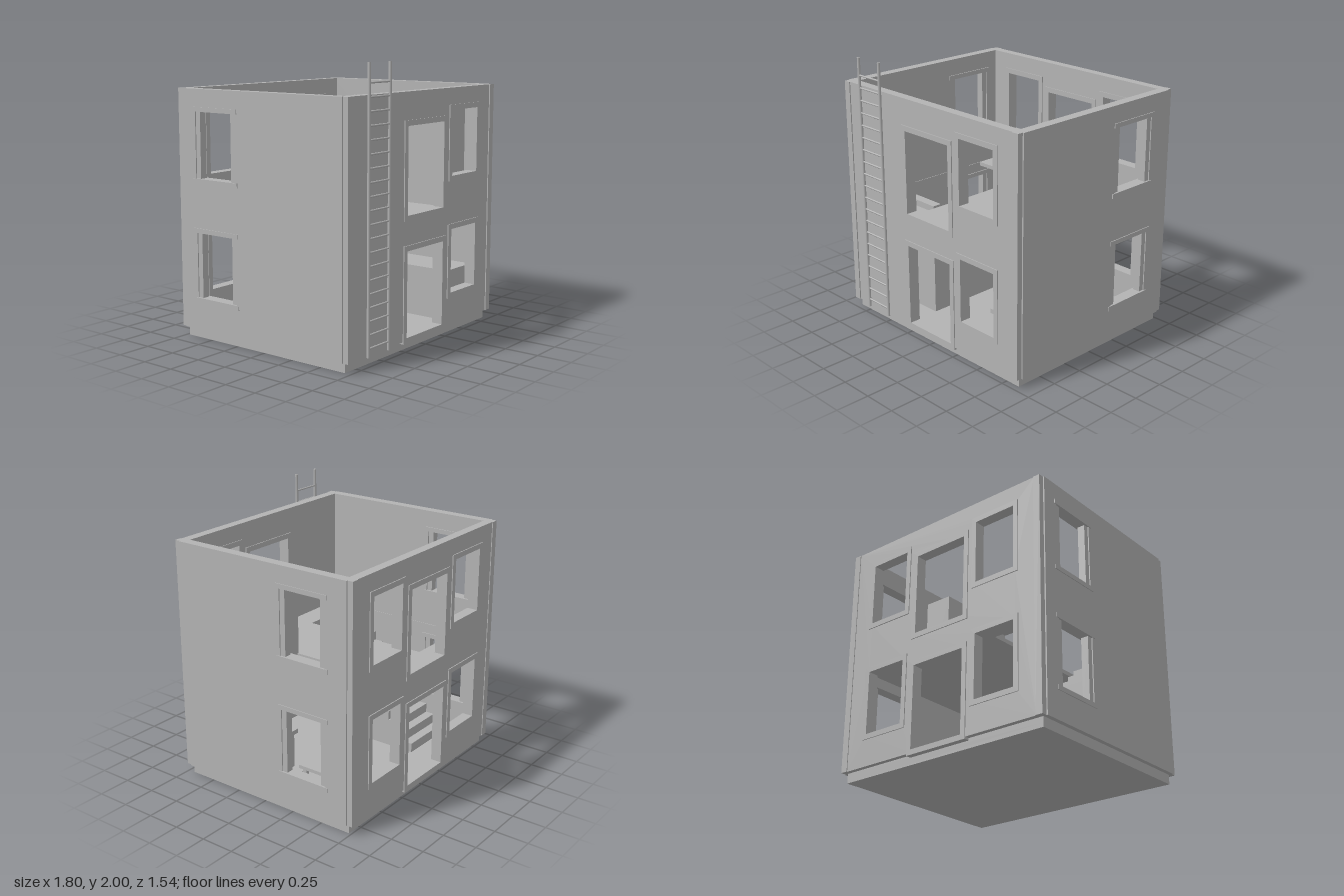
import * as THREE from 'three';

const grey = new THREE.MeshStandardMaterial({ color: 0xb3b3b3 });
grey.name = 'grey';

const STOREY = 0.857;

// Rectangles are [a0, b0, a1, b1]
const trace = (path, [a0, b0, a1, b1]) => {
  path.moveTo(a0, b0);
  path.lineTo(a1, b0);
  path.lineTo(a1, b1);
  path.lineTo(a0, b1);
  path.closePath();
  return path;
};

const grow = ([a0, b0, a1, b1], d) => [a0 - d, b0 - d, a1 + d, b1 + d];

function panel(rect, holes, depth) {
  const shape = trace(new THREE.Shape(), rect);
  holes.forEach(h => shape.holes.push(trace(new THREE.Path(), h)));
  return new THREE.ExtrudeGeometry(shape, { depth, bevelEnabled: false });
}

function add(parent, name, geometry) {
  const mesh = new THREE.Mesh(geometry, grey);
  mesh.name = name;
  parent.add(mesh);
  return mesh;
}

function box(parent, name, x0, x1, y0, y1, z0, z1) {
  const mesh = add(parent, name, new THREE.BoxGeometry(x1 - x0, y1 - y0, z1 - z0));
  mesh.position.set((x0 + x1) / 2, (y0 + y1) / 2, (z0 + z1) / 2);
  return mesh;
}

// Front or back wall with framed openings on both storeys
function longWall(parent, name, z0, z1, columns) {
  const wall = new THREE.Group();
  wall.name = name;
  parent.add(wall);
  const openings = [];
  for (const up of [0, STOREY]) {
    for (const [x0, x1, y0, y1] of columns) openings.push([x0, y0 + up, x1, y1 + up]);
  }
  const holes = openings.map(o => grow(o, 0.01));
  add(wall, 'wallPanel', panel([-0.835, 0.07, 0.835, 1.79], holes, z1 - z0)).position.z = z0;
  for (const o of openings) {
    add(wall, 'openingFrame', panel(grow(o, 0.038), [o], z1 - z0 + 0.014)).position.z = z0 - 0.007;
  }
}

// Side wall with a lintel, sill and jambs around each window
function sideWall(parent, name, side, zc) {
  const wall = new THREE.Group();
  wall.name = name;
  parent.add(wall);
  const sideBox = (n, a, b, y0, y1, z0, z1) =>
    box(wall, n, Math.min(side * a, side * b), Math.max(side * a, side * b), y0, y1, z0, z1);
  const holes = [0, STOREY].map(up => [zc - 0.185, 0.305 + up, zc + 0.185, 0.775 + up]);
  const geo = panel([-0.73, 0.07, 0.70, 1.79], holes, 0.073);
  geo.rotateY(-Math.PI / 2);
  geo.translate(side > 0 ? 0.893 : -0.82, 0, 0);
  add(wall, 'wallPanel', geo);
  for (const [, y0, , y1] of holes) {
    sideBox('lintel', 0.812, 0.899, y1, y1 + 0.033, zc - 0.21, zc + 0.21);
    sideBox('sill', 0.812, 0.899, y0 - 0.033, y0, zc - 0.21, zc + 0.21);
    for (const s of [-1, 1]) {
      const a = zc + s * 0.145, b = zc + s * 0.185;
      sideBox('jamb', 0.83, 0.885, y0, y1, Math.min(a, b), Math.max(a, b));
    }
  }
}

// Slab top with four corner legs
function slabOnLegs(parent, name, x0, x1, z0, z1, floor, height, thick, leg) {
  const g = new THREE.Group();
  g.name = name;
  parent.add(g);
  const under = floor + height - thick;
  box(g, 'slab', x0, x1, under, floor + height, z0, z1);
  for (const x of [x0 + 0.02, x1 - 0.02 - leg]) {
    for (const z of [z0 + 0.02, z1 - 0.02 - leg]) box(g, 'leg', x, x + leg, floor, under, z, z + leg);
  }
}

function ladder(parent) {
  const g = new THREE.Group();
  g.name = 'ladder';
  parent.add(g);
  for (const x of [-0.685, -0.459]) {
    add(g, 'ladderRail', new THREE.CylinderGeometry(0.011, 0.011, 1.93, 12)).position.set(x, 1.035, 0.757);
  }
  for (let i = 0; i < 20; i++) {
    const rung = add(g, 'ladderRung', new THREE.CylinderGeometry(0.007, 0.007, 0.226, 8));
    rung.rotation.z = Math.PI / 2;
    rung.position.set(-0.572, 0.13 + i * 0.0916, 0.757);
  }
}

export function createModel() {
  const house = new THREE.Group();
  house.name = 'twoStoreyHouse';

  // Base with a raised rim
  box(house, 'groundFloor', -0.86, 0.86, 0, 0.03, -0.73, 0.70);
  const rim = panel([-0.86, -0.73, 0.86, 0.70], [[-0.82, -0.70, 0.82, 0.662]], 0.04);
  rim.rotateX(Math.PI / 2);
  add(house, 'baseRim', rim).position.y = 0.07;

  // Upper floor with a stairwell
  const slab = panel([-0.83, -0.71, 0.83, 0.67], [[-0.815, -0.515, -0.29, 0.485]], 0.03);
  slab.rotateX(Math.PI / 2);
  add(house, 'upperFloor', slab).position.y = 0.887;

  // Walls and corners
  const door = [-0.22, 0.22, 0.092, 0.703];
  const rightWindow = [0.33, 0.657, 0.305, 0.775];
  const leftWindow = [-0.657, -0.33, 0.305, 0.775];
  longWall(house, 'frontWall', 0.662, 0.733, [door, rightWindow]);
  longWall(house, 'backWall', -0.765, -0.697, [leftWindow, door, rightWindow]);
  sideWall(house, 'leftSideWall', 1, -0.37);
  sideWall(house, 'rightSideWall', -1, -0.413);
  for (const x of [-0.883, 0.83]) {
    box(house, 'cornerPost', x, x + 0.053, 0.07, 1.79, 0.664, 0.741);
    box(house, 'cornerPost', x, x + 0.053, 0.07, 1.79, -0.771, -0.699);
  }

  // Solid staircase rising toward the front
  const stairs = new THREE.Group();
  stairs.name = 'stairs';
  house.add(stairs);
  const run = 0.855 / 12, rise = 0.857 / 12;
  for (let i = 0; i < 12; i++) {
    const z = -0.445 + i * run;
    box(stairs, 'step', -0.75, -0.325, 0.03, 0.03 + (i + 1) * rise, z, z + run);
  }

  // Table and two benches on each storey
  for (const floor of [0.03, 0.03 + STOREY]) {
    slabOnLegs(house, 'table', 0.225, 0.625, -0.43, -0.115, floor, 0.19, 0.025, 0.03);
    slabOnLegs(house, 'bench', 0.285, 0.57, -0.62, -0.475, floor, 0.09, 0.025, 0.025);
    slabOnLegs(house, 'bench', 0.285, 0.57, -0.075, 0.068, floor, 0.09, 0.025, 0.025);
  }

  // Counter below, wardrobe above
  box(house, 'counterBody', 0.512, 0.80, 0.03, 0.387, 0.02, 0.59);
  box(house, 'counterTop', 0.49, 0.81, 0.387, 0.42, 0, 0.61);
  box(house, 'wardrobe', 0.558, 0.785, 0.887, 1.64, -0.07, 0.555);

  ladder(house);
  return house;
}
